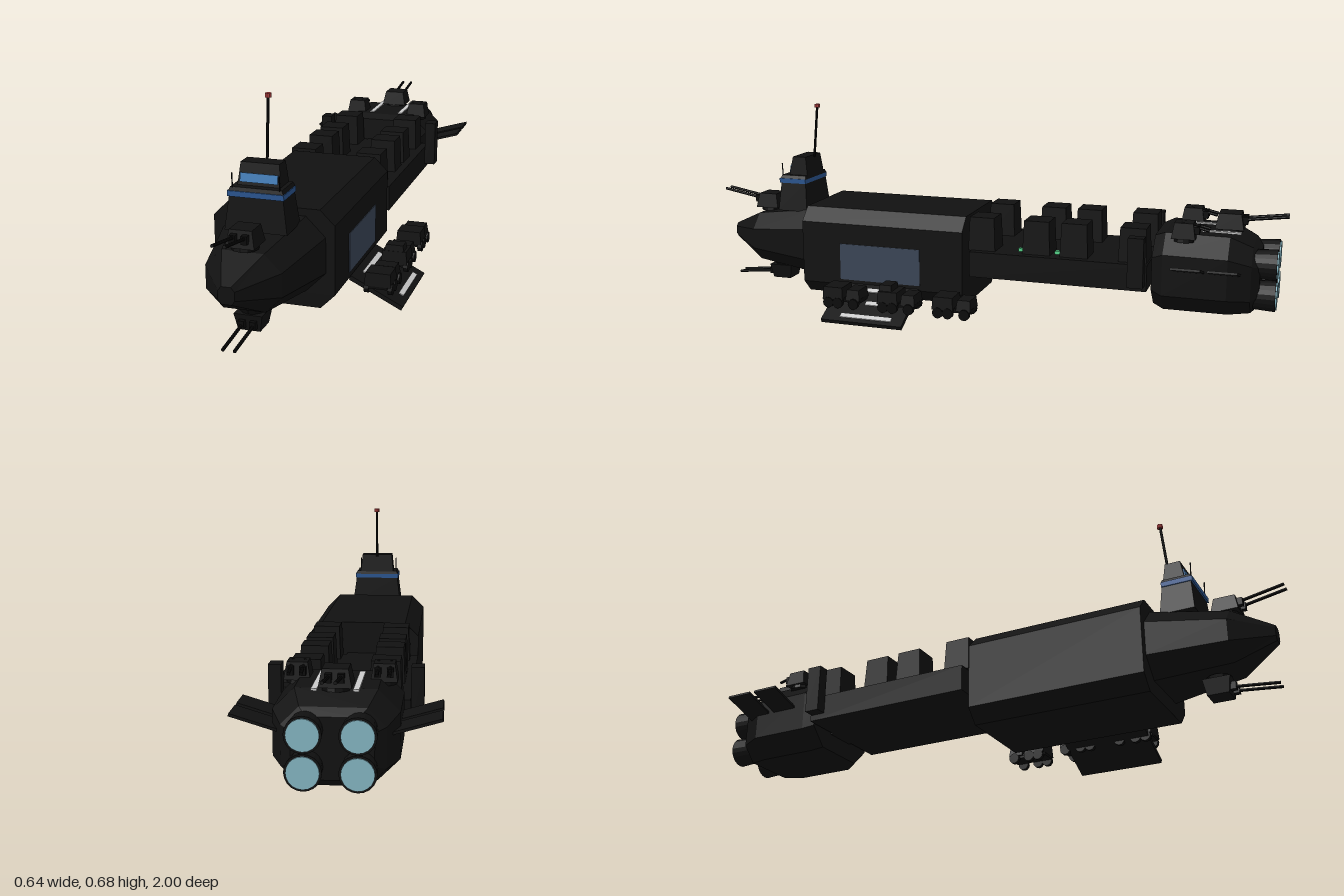
import * as THREE from 'three';

const paint = (color, extra = {}) => new THREE.MeshStandardMaterial({ color, flatShading: true, ...extra });
const dark = paint(0x111111);
const black = paint(0x0a0a0a);
const blue = paint(0x3f7cb8);
const navy = paint(0x2a5590);
const slate = paint(0x3b4657);
const white = paint(0xdddddd);
const red = paint(0xb04040);
const green = paint(0x55d68a);
const teal = paint(0x86b7c4);

function add(parent, name, geometry, material, x = 0, y = 0, z = 0) {
  const mesh = new THREE.Mesh(geometry, material);
  mesh.name = name;
  mesh.position.set(x, y, z);
  parent.add(mesh);
  return mesh;
}
const box = (w, h, d) => new THREE.BoxGeometry(w, h, d);

// Box whose top is narrowed by factors sx, sz
function taperBox(w, h, d, sx, sz = sx, shiftZ = 0) {
  const g = box(w, h, d), p = g.attributes.position;
  for (let i = 0; i < p.count; i++) {
    if (p.getY(i) > 0) p.setXYZ(i, p.getX(i) * sx, p.getY(i), p.getZ(i) * sz + shiftZ);
  }
  g.computeVertexNormals();
  return g;
}

// Rod between two points
function rod(parent, name, a, b, r, material = black) {
  const A = new THREE.Vector3(...a), B = new THREE.Vector3(...b), dir = B.clone().sub(A);
  const mesh = add(parent, name, new THREE.CylinderGeometry(r, r, dir.length(), 8), material);
  mesh.position.copy(A).add(B).multiplyScalar(0.5);
  mesh.quaternion.setFromUnitVectors(new THREE.Vector3(0, 1, 0), dir.normalize());
  return mesh;
}

// Chamfered hull lofted from [z, halfWidth, yBottom, yTop, chamferX, chamferY], from front to back
function hullLoft(sections) {
  const rings = sections.map(([z, w, b, t, cx, cy]) => [
    [w, b + cy], [w, t - cy], [w - cx, t], [cx - w, t], [-w, t - cy], [-w, b + cy], [cx - w, b], [w - cx, b],
  ].map(([x, y]) => [x, y, z]));
  const pos = [];
  const tri = (...pts) => pts.forEach((p) => pos.push(...p));
  for (let s = 0; s < rings.length - 1; s++) {
    const f = rings[s], k = rings[s + 1];
    for (let i = 0; i < 8; i++) {
      const j = (i + 1) % 8;
      tri(f[i], k[i], k[j]);
      tri(f[i], k[j], f[j]);
    }
  }
  const first = rings[0], last = rings[rings.length - 1];
  for (let i = 1; i < 7; i++) {
    tri(first[0], first[i], first[i + 1]);
    tri(last[0], last[i + 1], last[i]);
  }
  const g = new THREE.BufferGeometry();
  g.setAttribute('position', new THREE.Float32BufferAttribute(pos, 3));
  g.computeVertexNormals();
  return g;
}

// Twin-barrel turret, barrels towards +z
function turret(parent, name, x, y, z, size, reach, rise) {
  const g = new THREE.Group();
  g.name = name;
  g.position.set(x, y, z);
  add(g, 'turretRing', new THREE.CylinderGeometry(size * 0.42, size * 0.46, 0.016, 12), black, 0, 0.004, 0);
  add(g, 'turretHouse', taperBox(size, 0.05, size, 0.78), dark, 0, 0.033, 0);
  for (const s of [-1, 1]) {
    add(g, 'gunMount', box(0.018, 0.024, 0.03), black, s * 0.017, 0.036, size * 0.45);
    rod(g, 'gunBarrel', [s * 0.017, 0.036, size * 0.3], [s * 0.017, 0.036 + rise, reach], 0.005);
  }
  parent.add(g);
  return g;
}

// Six-wheeled cargo truck
function truck(parent, y, z) {
  const g = new THREE.Group();
  g.name = 'truck';
  g.position.set(0.24, y, z);
  add(g, 'truckChassis', box(0.06, 0.014, 0.13), black, 0, 0.027, 0);
  add(g, 'truckCargoBox', taperBox(0.084, 0.042, 0.072, 0.92), dark, 0, 0.049, 0.03);
  add(g, 'truckCab', taperBox(0.078, 0.036, 0.05, 0.85), dark, 0, 0.046, -0.04);
  for (const s of [-1, 1]) {
    for (const dz of [-0.044, 0.012, 0.046]) {
      const wheel = add(g, 'truckWheel', new THREE.CylinderGeometry(0.018, 0.018, 0.014, 12), black, s * 0.037, 0.018, dz);
      wheel.rotation.z = Math.PI / 2;
    }
  }
  parent.add(g);
}

export function createModel() {
  const model = new THREE.Group();
  model.name = 'cargoCarrier';
  const ship = new THREE.Group();
  ship.name = 'ship';
  ship.position.x = -0.037;
  model.add(ship);

  // Hull sections
  add(ship, 'bow', hullLoft([
    [0.96, 0.024, 0.185, 0.235, 0.01, 0.012],
    [0.84, 0.112, 0.12, 0.29, 0.05, 0.05],
    [0.6, 0.16, 0.095, 0.325, 0.06, 0.06],
  ]), dark);
  add(ship, 'cargoBay', hullLoft([
    [0.605, 0.187, 0.045, 0.347, 0.045, 0.045],
    [0.025, 0.187, 0.045, 0.347, 0.045, 0.045],
  ]), dark);
  add(ship, 'sternHull', hullLoft([
    [-0.595, 0.155, 0.095, 0.32, 0.06, 0.06],
    [-0.63, 0.172, 0.083, 0.335, 0.06, 0.06],
    [-0.83, 0.172, 0.083, 0.333, 0.06, 0.06],
    [-0.9, 0.14, 0.088, 0.3, 0.05, 0.05],
    [-0.925, 0.11, 0.11, 0.28, 0.04, 0.04],
  ]), dark);

  // Spine and container deck
  add(ship, 'spine', box(0.11, 0.085, 0.7), dark, 0, 0.198, -0.29);
  add(ship, 'containerDeck', box(0.374, 0.085, 0.585), dark, 0, 0.198, -0.293);
  for (const s of [-1, 1]) {
    for (const z of [-0.035, -0.22, -0.345, -0.535]) {
      add(ship, 'container', taperBox(0.094, 0.112, 0.092, 0.9), dark, s * 0.115, 0.295, z);
    }
    for (const z of [-0.165, -0.288]) add(ship, 'deckLight', box(0.018, 0.01, 0.025), green, s * 0.123, 0.245, z);
    add(ship, 'sidePlate', box(0.038, 0.16, 0.05), dark, s * 0.207, 0.255, -0.555);
    add(ship, 'plateStrut', box(0.05, 0.03, 0.03), dark, s * 0.185, 0.22, -0.555);

    // Radiator fins and stern light strips
    for (const z of [-0.825, -0.715]) {
      const fin = add(ship, 'radiatorFin', box(0.15, 0.008, 0.09), dark, s * 0.212, 0.242, z);
      fin.rotation.z = s * 0.29;
    }
    add(ship, 'sternLightStrip', box(0.016, 0.006, 0.21), white, s * 0.056, 0.335, -0.755);

    // Engines
    for (const t of [-1, 1]) {
      const bell = add(ship, 'engineBell', new THREE.CylinderGeometry(0.044, 0.05, 0.1, 20), dark, s * 0.071, 0.195 + t * 0.05, -0.925);
      bell.rotation.x = Math.PI / 2;
      const glow = add(ship, 'engineGlow', new THREE.CylinderGeometry(0.044, 0.044, 0.006, 20), teal, s * 0.071, 0.195 + t * 0.05, -0.976);
      glow.rotation.x = Math.PI / 2;
    }
    turret(ship, 'sternSideTurret', s * 0.12, 0.318, -0.69, 0.075, -0.065, 0.02).rotation.y = Math.PI;
  }
  for (const t of ship.children.filter((c) => c.name === 'sternSideTurret')) {
    t.children.filter((c) => c.name === 'gunBarrel').forEach((b) => { b.position.z = 0.035; });
  }

  // Centreline turrets
  turret(ship, 'bowTurret', 0, 0.298, 0.82, 0.085, 0.18, 0.028);
  const belly = turret(ship, 'bellyTurret', 0, 0.103, 0.775, 0.085, 0.18, 0.016);
  belly.rotation.z = Math.PI;
  turret(ship, 'sternTurret', 0, 0.333, -0.82, 0.09, 0.18, 0.02).rotation.y = Math.PI;

  // Bridge tower
  add(ship, 'towerBase', taperBox(0.186, 0.1, 0.11, 0.86, 0.85), dark, 0, 0.362, 0.69);
  add(ship, 'towerWindowBand', box(0.168, 0.016, 0.1), navy, 0, 0.418, 0.692);
  add(ship, 'towerRoof', taperBox(0.164, 0.012, 0.098, 0.93), dark, 0, 0.431, 0.69);
  add(ship, 'bridgeCabin', taperBox(0.128, 0.066, 0.07, 0.9, 0.7, -0.002), dark, 0, 0.468, 0.678);
  const pane = add(ship, 'bridgeWindow', box(0.112, 0.026, 0.004), blue, 0, 0.459, 0.711);
  pane.rotation.x = -0.18;
  for (const s of [-1, 1]) rod(ship, 'whipAntenna', [s * 0.07, 0.435, 0.735], [s * 0.07, 0.478, 0.737], 0.002);
  rod(ship, 'mast', [0, 0.495, 0.645], [0, 0.675, 0.628], 0.0045);
  add(ship, 'mastLight', new THREE.CylinderGeometry(0.01, 0.01, 0.012, 8), red, 0, 0.678, 0.627);

  // Side door and loading ramp
  add(ship, 'bayDoor', box(0.004, 0.125, 0.29), slate, 0.187, 0.17, 0.32);
  const ramp = new THREE.Group();
  ramp.name = 'loadingRamp';
  ramp.position.set(0.233, 0.05, 0.32);
  ramp.rotation.z = -0.46;
  add(ramp, 'rampPlate', box(0.183, 0.014, 0.285), dark);
  for (const x of [-0.062, 0.066]) add(ramp, 'rampStripe', box(0.017, 0.004, 0.18), white, x, 0.008, -0.01);
  add(ramp, 'rampCentreMark', box(0.017, 0.004, 0.05), white, 0, 0.008, -0.01);
  model.add(ramp);

  // Trucks
  truck(model, 0.046, 0.405);
  truck(model, 0.046, 0.21);
  truck(model, 0.046, 0.018);
  add(model, 'truckRoofPod', taperBox(0.062, 0.026, 0.045, 0.9), dark, 0.24, 0.123, 0.25);
  return model;
}
